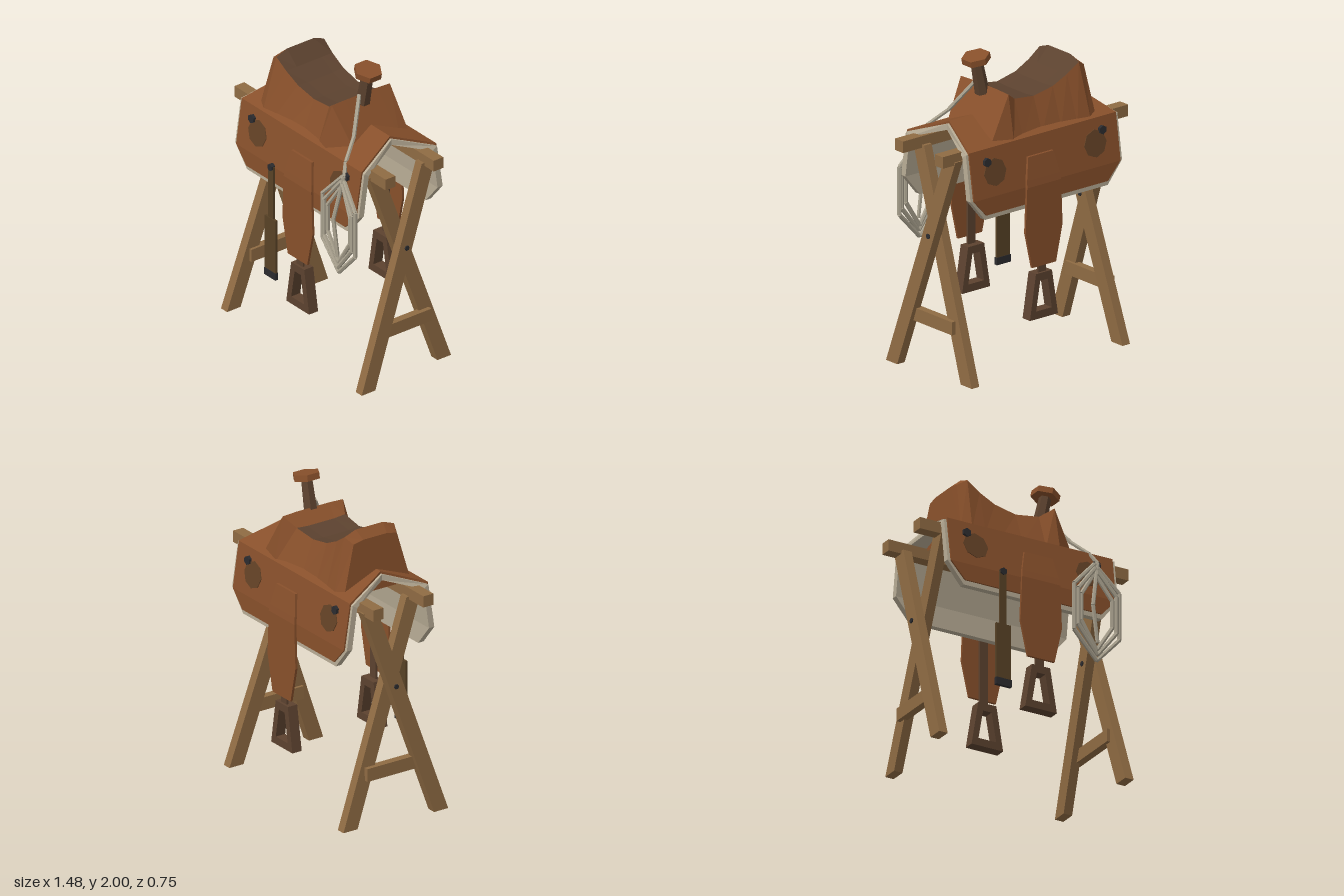
import * as THREE from 'three';

const mat = (name, color, side = THREE.FrontSide) => {
  const m = new THREE.MeshStandardMaterial({ color, side, flatShading: true });
  m.name = name;
  return m;
};

export function createModel() {
  const leather = mat('brown leather', 0x88502b);
  const darkLeather = mat('dark leather', 0x5c422f);
  const patchLeather = mat('worn leather', 0x644226);
  const strapLeather = mat('strap leather', 0x584226);
  const wood = mat('wood', 0x8f6b43);
  const blanketCloth = mat('blanket cloth', 0xb9ad96);
  const ropeFibre = mat('rope fibre', 0xaaa28f);
  const metal = mat('black metal', 0x2b2b2e);

  const model = new THREE.Group();
  model.name = 'saddleOnRack';
  const add = (name, geo, material, x = 0, y = 0, z = 0) => {
    const mesh = new THREE.Mesh(geo, material);
    mesh.name = name;
    mesh.position.set(x, y, z);
    model.add(mesh);
    return mesh;
  };
  const box = (name, w, h, d, material, x, y, z) => add(name, new THREE.BoxGeometry(w, h, d), material, x, y, z);

  // Flat-faced geometry from a list of convex polygons
  const polyGeo = (polys) => {
    const pos = [];
    for (const p of polys)
      for (let i = 1; i < p.length - 1; i++) pos.push(...p[0], ...p[i], ...p[i + 1]);
    const g = new THREE.BufferGeometry();
    g.setAttribute('position', new THREE.Float32BufferAttribute(pos, 3));
    g.computeVertexNormals();
    return g;
  };

  // Thick sheet from outer and inner rows [z, y, halfWidth], centred on cx
  const shell = (outer, inner, cx = 0) => {
    const L = ([z, y, w]) => [cx - w, y, z];
    const R = ([z, y, w]) => [cx + w, y, z];
    const loop = [...outer, ...[...inner].reverse()];
    const polys = loop.map((p, i) => {
      const q = loop[(i + 1) % loop.length];
      return [L(p), R(p), R(q), L(q)];
    });
    for (let i = 0; i < outer.length - 1; i++) {
      polys.push([R(outer[i + 1]), R(outer[i]), R(inner[i]), R(inner[i + 1])]);
      polys.push([L(outer[i]), L(outer[i + 1]), L(inner[i + 1]), L(inner[i])]);
    }
    return polyGeo(polys);
  };
  const flip = (rows) => rows.map(([z, y, w]) => [-z, y, w]).reverse();
  const mirrorRows = (rows) => [...rows, ...flip(rows.slice(0, -1))];

  // Straight round rod between two points
  const rod = (name, a, b, r, material, sides = 6, r2 = r) => {
    const A = new THREE.Vector3(...a), B = new THREE.Vector3(...b);
    const dir = B.clone().sub(A);
    const m = add(name, new THREE.CylinderGeometry(r2, r, dir.length(), sides), material);
    m.position.copy(A).add(B).multiplyScalar(0.5);
    m.quaternion.setFromUnitVectors(new THREE.Vector3(0, 1, 0), dir.normalize());
    return m;
  };

  // Rack: rails, crossed legs, braces and pivot bolts
  for (const d of [1, -1]) box('rail', 1.48, 0.075, 0.075, wood, 0, 1.448, d * 0.187);
  for (const s of [1, -1]) {
    for (const d of [1, -1]) {
      const h = 1.43;
      const g = new THREE.BoxGeometry(0.06, h, 0.105);
      const p = g.attributes.position;
      for (let i = 0; i < p.count; i++) {
        const t = p.getY(i) / h + 0.5;
        p.setX(i, p.getX(i) + s * ((d > 0 ? 0.66 : 0.602) - 0.042 * t));
        p.setZ(i, p.getZ(i) + d * (0.318 - 0.5 * t));
        p.setY(i, t * h);
      }
      g.computeVertexNormals();
      add('leg', g, wood);
    }
    box('brace', 0.05, 0.085, 0.41, wood, s * 0.625, 0.348, 0);
    rod('pivotBolt', [s * 0.54, 0.895, 0], [s * 0.672, 0.895, 0], 0.017, metal);
  }

  // Blanket and leather skirt draped over the rails
  add('blanket', shell(
    mirrorRows([[0.327, 1.05, 0.49], [0.327, 1.19, 0.605], [0.283, 1.482, 0.605], [0, 1.59, 0.515]]),
    mirrorRows([[0.287, 1.05, 0.49], [0.287, 1.19, 0.605], [0.248, 1.46, 0.605], [0, 1.55, 0.515]])), blanketCloth);
  add('skirt', shell(
    mirrorRows([[0.337, 1.08, 0.485], [0.337, 1.19, 0.585], [0.291, 1.492, 0.587], [0, 1.605, 0.5]]),
    mirrorRows([[0.322, 1.08, 0.485], [0.322, 1.19, 0.585], [0.278, 1.478, 0.587], [0, 1.585, 0.5]])), leather);

  // Saddle body: [baseX, topX, baseHalfWidth, topHalfWidth, edgeY, centreY]
  const stations = [
    [-0.465, -0.44, 0.25, 0.16, 1.8, 1.815],
    [-0.4, -0.38, 0.278, 0.185, 1.835, 1.865],
    [-0.3, -0.29, 0.268, 0.18, 1.775, 1.775],
    [-0.18, -0.18, 0.258, 0.176, 1.722, 1.715],
    [-0.03, -0.03, 0.255, 0.172, 1.692, 1.685],
    [0.13, 0.13, 0.268, 0.18, 1.712, 1.705],
    [0.22, 0.215, 0.284, 0.225, 1.77, 1.775],
    [0.385, 0.385, 0.25, 0.17, 1.485, 1.485],
  ].map(([xb, xt, wb, wt, ye, yc]) => [
    [xb, 1.47, wb], [xt, ye, wt], [xt, yc, wt * 0.55],
    [xt, yc, -wt * 0.55], [xt, ye, -wt], [xb, 1.47, -wb],
  ]);
  const body = [stations[0], [...stations.at(-1)].reverse()], seat = [];
  for (let s = 0; s < stations.length - 1; s++)
    for (let i = 0; i < 5; i++) {
      const a = stations[s], b = stations[s + 1];
      const onSeat = s >= 1 && s <= 4 && i >= 1 && i <= 3;
      (onSeat ? seat : body).push([a[i], b[i], b[i + 1], a[i + 1]]);
    }
  add('saddleBody', polyGeo(body), leather);
  add('seat', polyGeo(seat), darkLeather);

  // Horn
  rod('hornNeck', [0.235, 1.73, 0], [0.283, 1.95, 0], 0.046, darkLeather, 6, 0.038);
  const cap = add('hornCap', new THREE.CylinderGeometry(0.09, 0.09, 0.04, 6), leather, 0.284, 1.961, 0);
  cap.rotation.z = -0.22;

  // Stirrup outline with opening
  const stirrup = new THREE.Shape([[-0.112, 0.325], [0.112, 0.325], [0.064, 0.617], [-0.064, 0.617]]
    .map((p) => new THREE.Vector2(...p)));
  stirrup.holes.push(new THREE.Path([[-0.063, 0.375], [-0.03, 0.567], [0.03, 0.567], [0.063, 0.375]]
    .map((p) => new THREE.Vector2(...p))));
  const stirrupGeo = new THREE.ExtrudeGeometry(stirrup, { depth: 0.07, bevelEnabled: false });

  // Fenders, stirrups, conchos and worn patches on both sides
  const fender = [[0.357, 0.665, 0.095], [0.357, 0.9, 0.147], [0.357, 1.19, 0.135], [0.35, 1.235, 0.13], [0.325, 1.375, 0.1]];
  const fenderIn = fender.map(([z, y, w]) => [z - 0.016, y, w]);
  for (const d of [1, -1]) {
    add('fender', d > 0 ? shell(fender, fenderIn, 0.042) : shell(flip(fender), flip(fenderIn), 0.042), leather);
    box('stirrupStrap', 0.06, 0.62, 0.014, darkLeather, 0.042, 0.89, d * 0.332);
    add('stirrup', stirrupGeo, darkLeather, 0.042, 0, d > 0 ? 0.285 : -0.355);
    for (const s of [1, -1]) {
      const patch = add('wornPatch', new THREE.CylinderGeometry(0.088, 0.088, 0.008, 8), patchLeather,
        s * 0.4, 1.337, d * 0.3155);
      patch.rotation.x = d * (Math.PI / 2 - 0.15);
      rod('concho', [s * 0.46, 1.41, d * 0.29], [s * 0.46, 1.412, d * 0.322], 0.029, metal, 6);
    }
  }

  // Hanging cinch strap on the front side
  box('cinchStrap', 0.048, 0.37, 0.014, strapLeather, -0.225, 1.01, 0.346);
  box('cinchEnd', 0.105, 0.37, 0.016, strapLeather, -0.225, 0.65, 0.35);
  box('cinchTip', 0.11, 0.048, 0.022, metal, -0.225, 0.445, 0.35);
  rod('cinchStud', [-0.225, 1.19, 0.335], [-0.225, 1.19, 0.362], 0.024, metal, 6);

  // Coiled rope hung from the horn
  const path = (name, pts, r) => {
    for (let i = 0; i < pts.length - 1; i++) rod(name, pts[i], pts[i + 1], r, ropeFibre);
  };
  for (const [w, top, bottom, z] of [[0.16, 1.41, 0.75, 0.35], [0.135, 1.38, 0.785, 0.358], [0.11, 1.35, 0.82, 0.35]]) {
    const x = 0.44, up = top - 0.175, low = bottom + 0.175;
    path('ropeCoil', [[x, top, z - 0.028], [x - w, up, z], [x - w, low, z], [x, bottom, z],
      [x + w, low, z], [x + w, up, z], [x, top, z - 0.028]], 0.014);
  }
  path('ropeLine', [[0.25, 1.8, 0.04], [0.36, 1.6, 0.17], [0.425, 1.49, 0.285], [0.46, 1.42, 0.325]], 0.013);
  path('ropeTail', [[0.46, 1.42, 0.325], [0.405, 1.11, 0.365], [0.44, 0.865, 0.36]], 0.013);

  return model;
}
